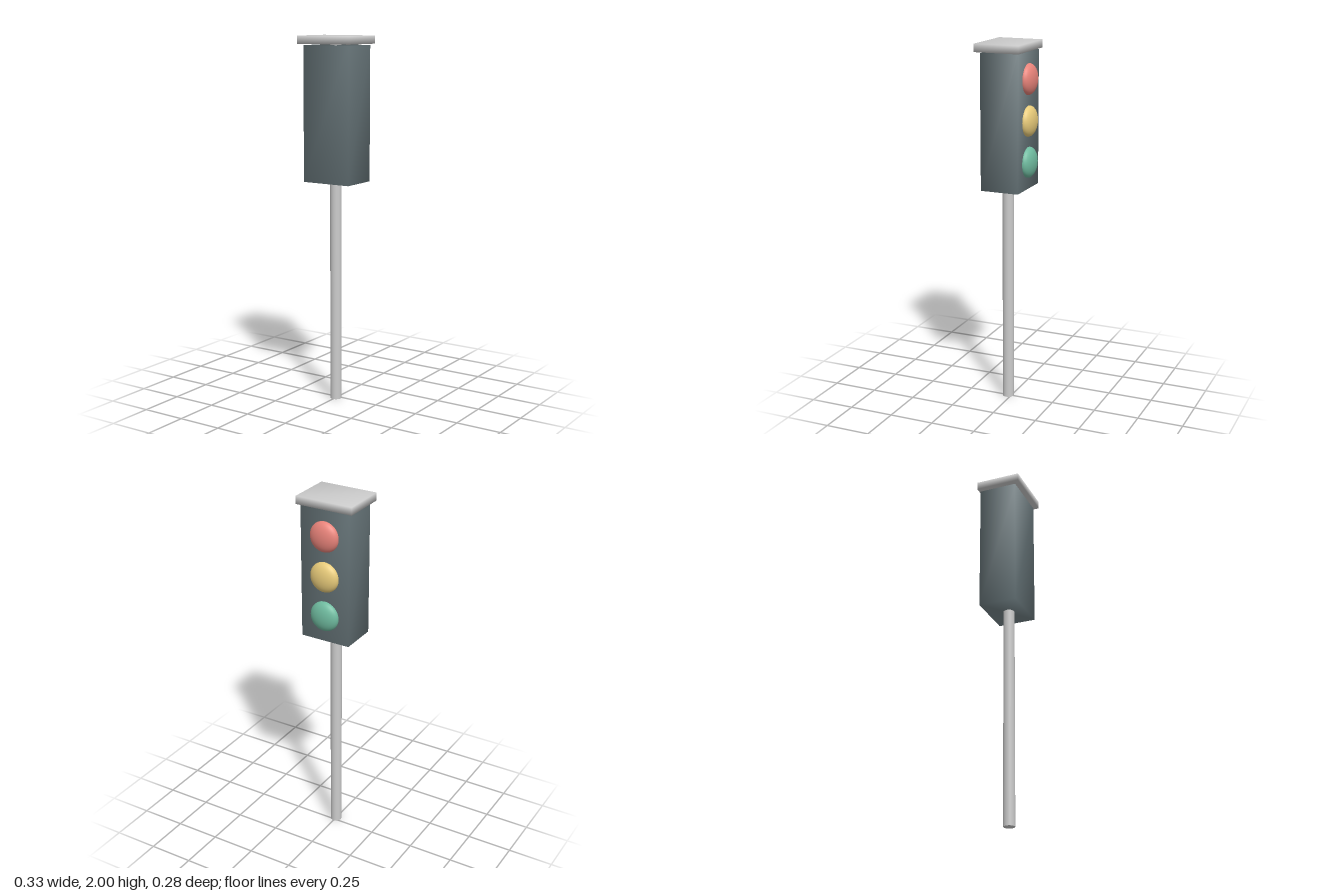
import * as THREE from 'three';
import { mergeVertices } from 'three/addons/utils/BufferGeometryUtils.js';

const material = (color = 0xcccccc) => new THREE.MeshStandardMaterial({ color });

// Box spanning the given ranges, with normals shared across its corners
function softBox(width, y0, y1, z0, z1) {
  let geometry = new THREE.BoxGeometry(width, y1 - y0, z1 - z0);
  geometry.deleteAttribute('uv');
  geometry.deleteAttribute('normal');
  geometry = mergeVertices(geometry);
  geometry.computeVertexNormals();
  return geometry.translate(0, (y0 + y1) / 2, (z0 + z1) / 2);
}

export function createModel() {
  const model = new THREE.Group();
  model.name = 'trafficLight';
  const add = (name, geometry, mat) => {
    const mesh = new THREE.Mesh(geometry, mat);
    mesh.name = name;
    model.add(mesh);
    return mesh;
  };

  // Pole runs through the housing up to the cap
  const pole = add('pole', new THREE.CylinderGeometry(0.031, 0.031, 1.97, 32), material());
  pole.position.set(0, 0.985, 0.018);

  // Lamp housing and overhanging cap
  add('housing', softBox(0.284, 1.22, 1.95, -0.098, 0.115), material(0x667478));
  add('cap', softBox(0.326, 1.957, 2, -0.11, 0.141), material());

  // Domed lenses on the back face, top to bottom
  const lens = new THREE.SphereGeometry(0.083, 32, 20);
  const lamps = [['redLens', 0xe8837a], ['yellowLens', 0xe8cb7a], ['greenLens', 0x6fbb9f]];
  lamps.forEach(([name, color], i) => {
    const mesh = add(name, lens, material(color));
    mesh.position.set(0, 1.81 - i * 0.222, -0.1);
    mesh.scale.z = 0.5;
  });

  return model;
}
